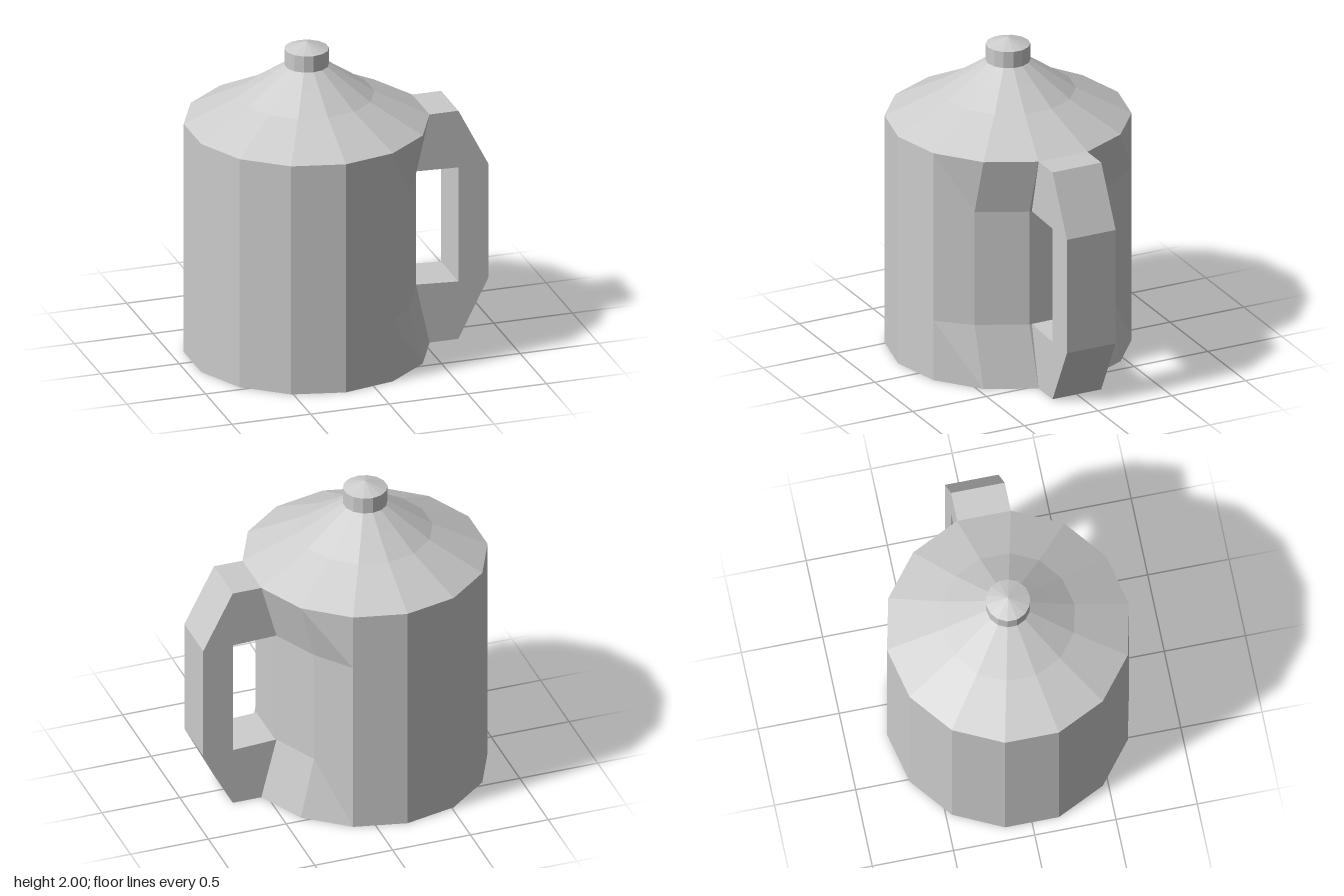
import * as THREE from 'three';

const SIDES = 14;
const AXIS_X = -0.19; // body axis, offset to leave room for the handle

export function createModel() {
  const model = new THREE.Group();
  const material = new THREE.MeshStandardMaterial({ color: 0xcccccc, flatShading: true });

  const add = (name, geometry, x = 0) => {
    const mesh = new THREE.Mesh(geometry, material);
    mesh.name = name;
    mesh.position.x = x;
    model.add(mesh);
  };
  const lathe = (profile) =>
    new THREE.LatheGeometry(profile.map(([r, y]) => new THREE.Vector2(r, y)), SIDES);

  // Body: faceted drum, pushed in behind the handle at mid height
  const body = lathe([[0, 0], [0.745, 0], [0.745, 0.39], [0.745, 1.13], [0.745, 1.49]]);
  const p = body.attributes.position;
  for (let i = 0; i < p.count; i++) {
    const y = p.getY(i);
    if (y > 0.1 && y < 1.4 && p.getX(i) > 0.5) {
      p.setX(i, p.getX(i) - 0.09);
      p.setZ(i, p.getZ(i) + 0.015);
    }
  }
  body.computeVertexNormals();
  add('body', body, AXIS_X);

  // Lid: concave sloping roof
  add('lid', lathe([[0.745, 1.49], [0.41, 1.66], [0.25, 1.77], [0.135, 1.85]]), AXIS_X);

  // Knob: short drum with a shallow cone on top
  add('knob', lathe([[0.135, 1.85], [0.135, 1.955], [0, 2]]), AXIS_X);

  // Handle: chamfered C outline, its ends sunk into the body
  const outline = [
    [0.4, 0], [0.72, 0], [0.91, 0.375], [0.91, 1.12], [0.72, 1.49], [0.4, 1.49],
    [0.4, 1.13], [0.45, 1.13], [0.72, 1.12], [0.72, 0.375], [0.45, 0.39], [0.4, 0.39],
  ].map(([x, y]) => new THREE.Vector2(x, y));
  const handle = new THREE.ExtrudeGeometry(new THREE.Shape(outline), { depth: 0.33, bevelEnabled: false });
  handle.translate(0, 0, -0.165);
  add('handle', handle);

  return model;
}
